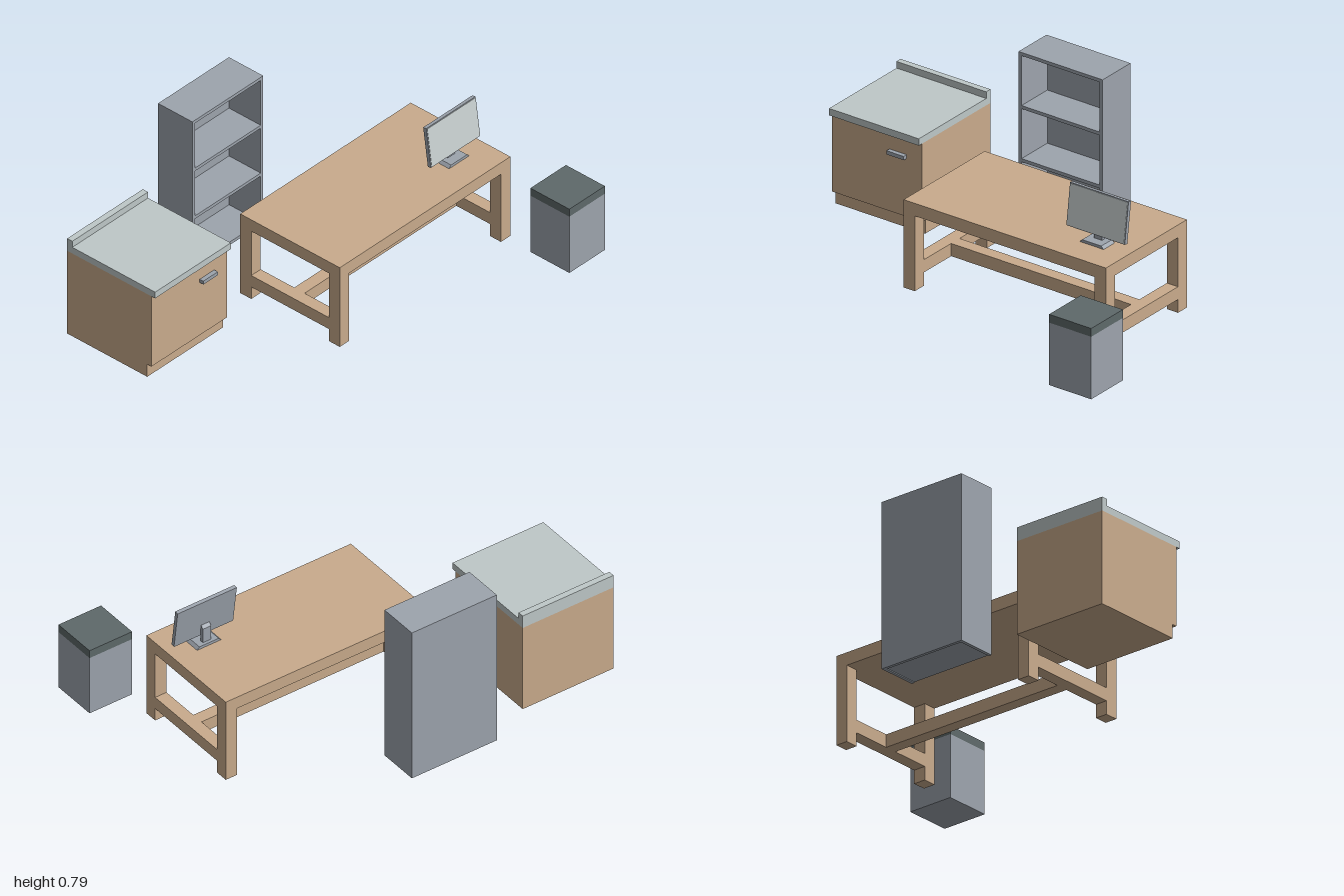
import * as THREE from 'three';

const mat = (name, color) => {
  const m = new THREE.MeshStandardMaterial({ color });
  m.name = name;
  return m;
};

export function createModel() {
  const wood = mat('wood', 0xc9ab8c);
  const metal = mat('greyMetal', 0x9da4ad);
  const stone = mat('paleCounter', 0xbec8c8);
  const glass = mat('screenGlass', 0xc8d0d0);
  const dark = mat('darkLid', 0x5e696a);

  const model = new THREE.Group();
  model.name = 'officeFurniture';
  const group = (name) => {
    const g = new THREE.Group();
    g.name = name;
    model.add(g);
    return g;
  };
  // Box given by its limits on each axis
  const box = (parent, name, material, [x0, x1], [y0, y1], [z0, z1]) => {
    const mesh = new THREE.Mesh(new THREE.BoxGeometry(x1 - x0, y1 - y0, z1 - z0), material);
    mesh.position.set((x0 + x1) / 2, (y0 + y1) / 2, (z0 + z1) / 2);
    mesh.name = name;
    parent.add(mesh);
    return mesh;
  };

  // Counter cabinet
  const cabinet = group('cabinet');
  const cx = [-1, -0.518];
  box(cabinet, 'toeKick', wood, cx, [0, 0.066], [-0.595, -0.13]);
  box(cabinet, 'cabinetBody', wood, cx, [0.066, 0.441], [-0.595, -0.106]);
  box(cabinet, 'countertop', stone, cx, [0.441, 0.474], [-0.595, -0.084]);
  box(cabinet, 'backsplash', stone, cx, [0.474, 0.506], [-0.595, -0.565]);
  box(cabinet, 'handle', metal, [-0.692, -0.6], [0.346, 0.364], [-0.106, -0.085]);

  // Bookcase, open at the front
  const bookcase = group('bookcase');
  const bz = [-0.69, -0.506];
  box(bookcase, 'backPanel', metal, [-0.3, 0.151], [0, 0.79], [-0.705, -0.69]);
  box(bookcase, 'sidePanelRight', metal, [-0.3, -0.284], [0, 0.79], bz);
  box(bookcase, 'sidePanelLeft', metal, [0.135, 0.151], [0, 0.79], bz);
  for (const y of [0.004, 0.264, 0.519, 0.774]) {
    box(bookcase, 'shelf', metal, [-0.284, 0.135], [y, y + 0.016], bz);
  }

  // Desk with four legs and an H-shaped stretcher
  const desk = group('desk');
  box(desk, 'deskTop', wood, [-0.284, 0.802], [0.361, 0.422], [-0.243, 0.335]);
  for (const x of [[-0.284, -0.224], [0.742, 0.802]]) {
    for (const z of [[0.271, 0.335], [-0.243, -0.179]]) box(desk, 'leg', wood, x, [0, 0.361], z);
    box(desk, 'sideStretcher', wood, x, [0.064, 0.125], [-0.179, 0.271]);
  }
  box(desk, 'longStretcher', wood, [-0.224, 0.742], [0.064, 0.125], [0.016, 0.076]);

  // Monitor: bevelled foot, neck with slanted top, tilted panel
  const monitor = group('monitor');
  const foot = box(monitor, 'monitorFoot', metal, [0.56, 0.688], [0.422, 0.435], [0.122, 0.2]);
  const p = foot.geometry.attributes.position;
  for (let i = 0; i < p.count; i++) if (p.getY(i) > 0) p.setX(i, p.getX(i) * 0.8);
  foot.geometry.computeVertexNormals();

  const profile = new THREE.Shape();
  [[-0.137, 0.433], [-0.137, 0.508], [-0.153, 0.524], [-0.155, 0.433]]
    .forEach(([u, v], i) => (i ? profile.lineTo(u, v) : profile.moveTo(u, v)));
  const neck = new THREE.Mesh(
    new THREE.ExtrudeGeometry(profile, { depth: 0.044, bevelEnabled: false }), metal);
  neck.rotation.y = Math.PI / 2;
  neck.position.x = 0.602;
  neck.name = 'monitorNeck';
  monitor.add(neck);

  const panel = new THREE.Group();
  panel.name = 'monitorPanel';
  panel.position.set(0.627, 0.561, 0.154);
  panel.rotation.x = -0.137;
  monitor.add(panel);
  box(panel, 'monitorCase', metal, [-0.157, 0.157], [-0.099, 0.099], [-0.009, 0.009]);
  box(panel, 'screen', glass, [-0.153, 0.153], [-0.095, 0.095], [0.009, 0.011]);

  // Waste bin with lid
  const bin = group('wasteBin');
  box(bin, 'binBody', metal, [0.774, 1], [0, 0.3], [0.477, 0.703]);
  box(bin, 'binLid', dark, [0.774, 1], [0.3, 0.34], [0.477, 0.703]);

  return model;
}
